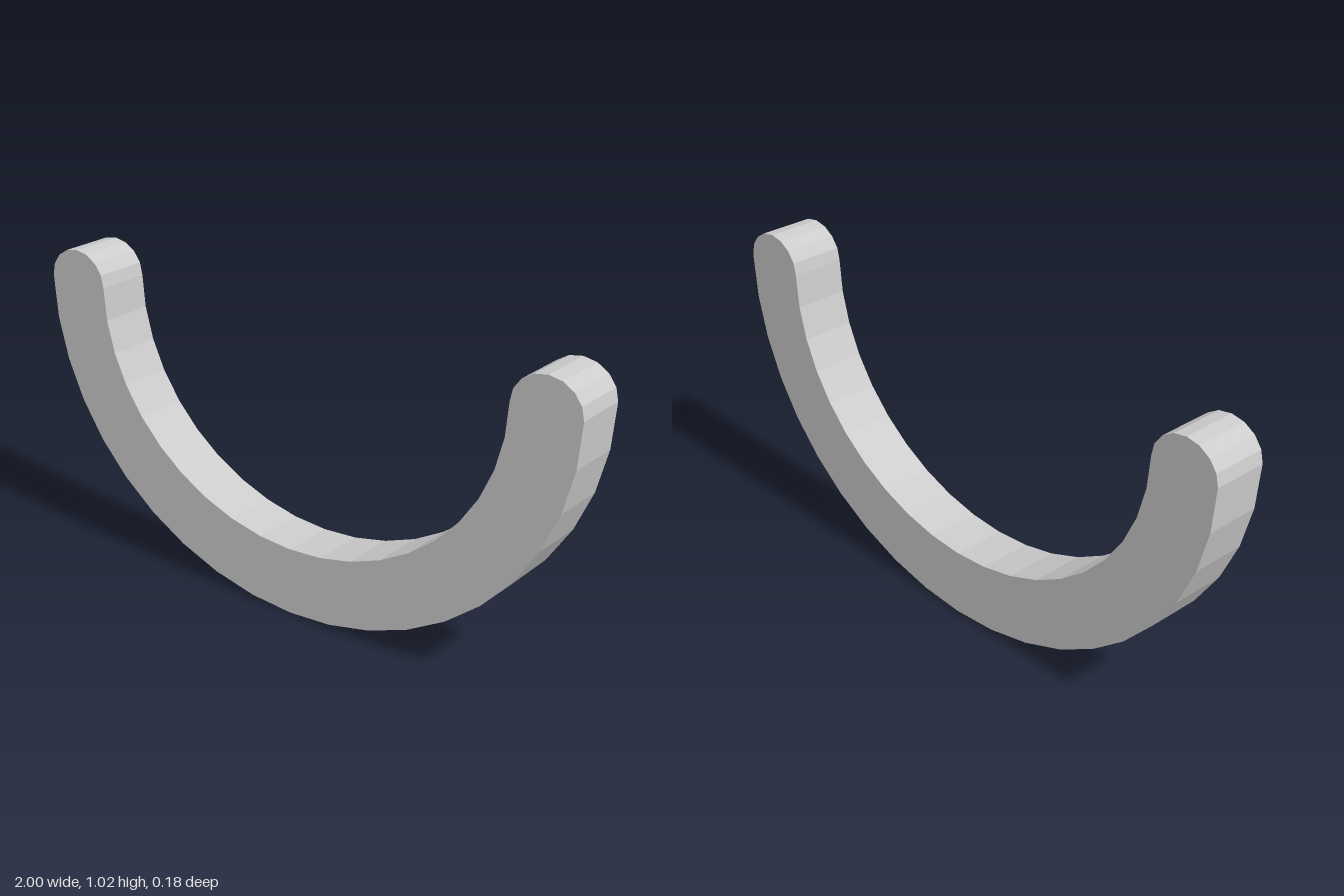
import * as THREE from 'three';

// Points along an elliptical arc, from angle a to angle b in degrees
function arc(cx, cy, rx, ry, a, b, steps) {
  return Array.from({ length: steps + 1 }, (_, i) => {
    const t = THREE.MathUtils.degToRad(a + ((b - a) * i) / steps);
    return new THREE.Vector2(cx + rx * Math.cos(t), cy + ry * Math.sin(t));
  });
}

export function createModel() {
  const group = new THREE.Group();
  group.name = 'curvedHandle';

  const cy = 0.92; // height where the arms meet their rounded ends
  const depth = 0.18;
  const outline = [
    ...arc(0, cy, 1, cy, 180, 360, 20), // outer sweep
    ...arc(0.885, cy, 0.115, 0.105, 0, 180, 8).slice(1), // left rounded end
    ...arc(0, cy, 0.77, 0.695, 360, 180, 20).slice(1), // inner sweep
    ...arc(-0.885, cy, 0.115, 0.105, 0, 180, 8).slice(1, -1), // right rounded end
  ];

  // Flat-sided arch with faceted edges
  const geometry = new THREE.ExtrudeGeometry(new THREE.Shape(outline), {
    depth,
    bevelEnabled: false,
  });
  geometry.translate(0, 0, -depth / 2);

  const arch = new THREE.Mesh(
    geometry,
    new THREE.MeshStandardMaterial({ color: 0xcccccc, flatShading: true })
  );
  arch.name = 'arch';
  group.add(arch);
  return group;
}
